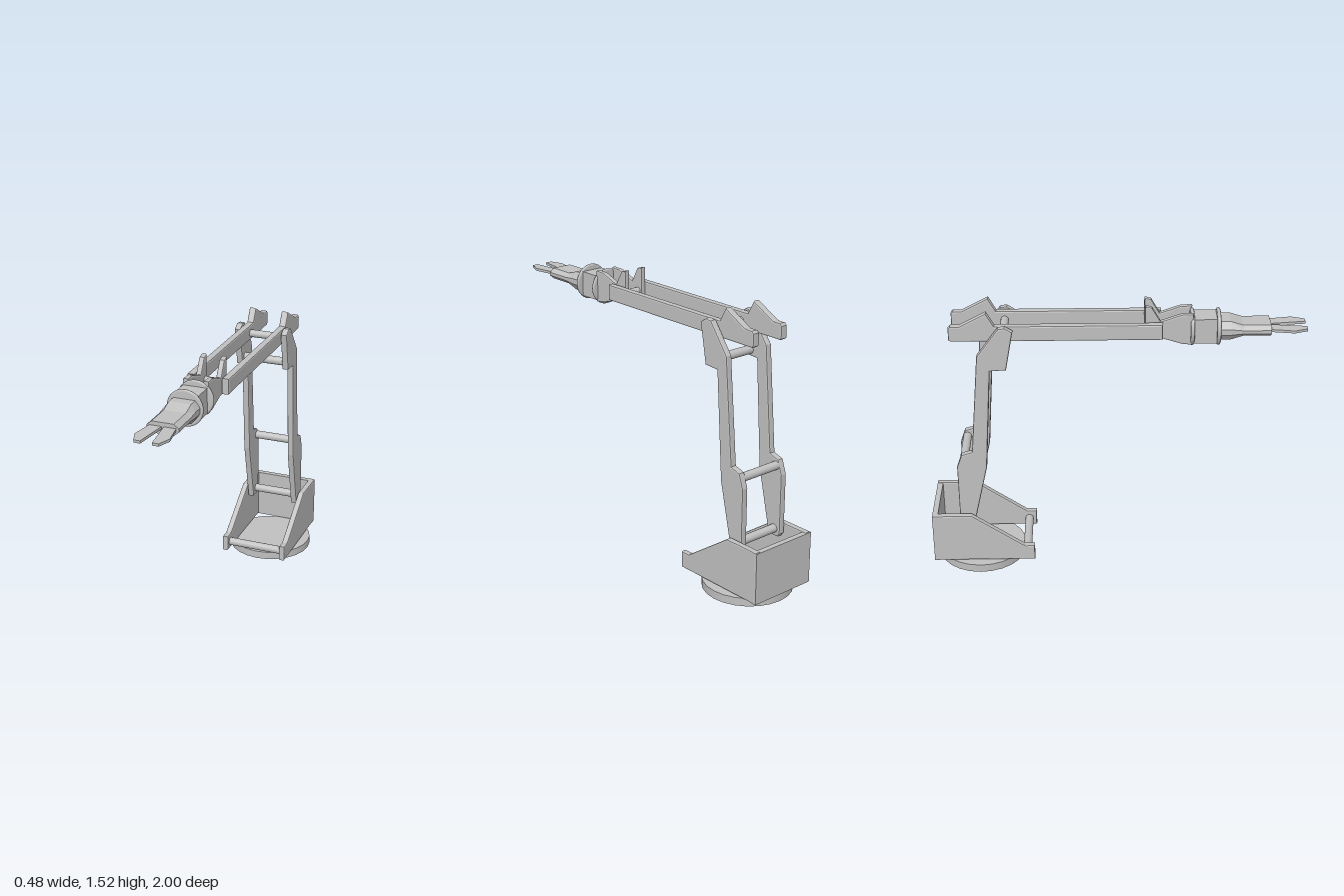
import * as THREE from 'three';

const grey = new THREE.MeshStandardMaterial({ color: 0xc0c0c0 });
grey.name = 'machineGrey';

export function createModel() {
  const root = new THREE.Group();
  root.name = 'roboticArm';

  const add = (name, geometry, parent = root) => {
    const mesh = new THREE.Mesh(geometry, grey);
    mesh.name = name;
    parent.add(mesh);
    return mesh;
  };
  const group = (name) => {
    const g = new THREE.Group();
    g.name = name;
    root.add(g);
    return g;
  };

  // Bevelled plate from a (z, y) outline, spanning x0..x1
  const plate = (points, x0, x1, bevel = 0.008) => {
    const shape = new THREE.Shape(points.map(([z, y]) => new THREE.Vector2(z, y)));
    const depth = x1 - x0 - 2 * bevel;
    const geo = new THREE.ExtrudeGeometry(shape, {
      depth, bevelEnabled: true, bevelThickness: bevel, bevelSize: bevel,
      bevelOffset: -bevel, bevelSegments: 2,
    });
    geo.translate(0, 0, -depth / 2);
    geo.rotateY(-Math.PI / 2);
    geo.translate((x0 + x1) / 2, 0, 0);
    return geo;
  };
  const platePair = (name, points, x0, x1, parent) => {
    add(name + 'Left', plate(points, x0, x1), parent);
    add(name + 'Right', plate(points, -x1, -x0), parent);
  };

  // Round cross bar along x
  const bar = (name, y, z, halfLength, r, parent) => {
    const geo = new THREE.CylinderGeometry(r, r, halfLength * 2, 20);
    geo.rotateZ(Math.PI / 2);
    add(name, geo, parent).position.set(0, y, z);
  };

  // Turntable and open housing
  const base = group('base');
  add('turntable', new THREE.CylinderGeometry(0.24, 0.24, 0.045, 24), base).position.set(0, 0.0225, -0.745);
  platePair('housingSide', [
    [-0.445, 0.05], [-0.445, 0.14], [-0.5, 0.14], [-0.785, 0.337], [-0.995, 0.337], [-0.995, 0.05],
  ], 0.16, 0.195, base);
  add('housingBack', new THREE.BoxGeometry(0.388, 0.283, 0.03), base).position.set(0, 0.1925, -0.985);
  bar('housingFrontBar', 0.092, -0.487, 0.17, 0.023, base);

  // Upright arm: two plates joined by bars
  const lower = group('lowerArm');
  platePair('lowerArmPlate', [
    [-0.77, 0.27], [-0.69, 0.618], [-0.65, 1.195], [-0.565, 1.2], [-0.525, 1.415],
    [-0.565, 1.44], [-0.6, 1.435], [-0.715, 1.28], [-0.765, 0.715], [-0.823, 0.697],
    [-0.85, 0.62], [-0.85, 0.29], [-0.835, 0.27],
  ], 0.118, 0.155, lower);
  bar('lowerBar', 0.312, -0.81, 0.125, 0.023, lower);
  bar('kneeBar', 0.664, -0.81, 0.125, 0.023, lower);
  bar('upperBar', 1.232, -0.603, 0.125, 0.023, lower);
  bar('elbowPivot', 1.385, -0.575, 0.125, 0.021, lower);

  // Forearm reaching forward
  const upper = group('forearm');
  platePair('forearmPlate', [
    [0.245, 1.347], [0.245, 1.432], [-0.62, 1.432], [-0.66, 1.505], [-0.8, 1.432],
    [-0.845, 1.432], [-0.857, 1.42], [-0.857, 1.355], [-0.845, 1.347],
  ], 0.075, 0.115, upper);

  // Wrist fork and its pivot
  const wrist = group('wrist');
  platePair('wristFork', [
    [0.405, 1.295], [0.405, 1.47], [0.345, 1.468], [0.235, 1.43], [0.19, 1.508],
    [0.155, 1.517], [0.155, 1.337], [0.25, 1.332], [0.345, 1.302],
  ], 0.04, 0.07, wrist);
  bar('wristPivot', 1.385, 0.183, 0.08, 0.019, wrist);

  // Rounded flange discs either side of the wrist block
  const rim = [[0, -0.01], [0.089, -0.01], [0.096, -0.006], [0.098, 0], [0.096, 0.006], [0.089, 0.01], [0, 0.01]];
  for (const [name, z] of [['rearFlange', 0.402], ['frontFlange', 0.539]]) {
    const geo = new THREE.LatheGeometry(rim.map(([r, h]) => new THREE.Vector2(r, h)), 32);
    geo.rotateX(Math.PI / 2);
    add(name, geo, wrist).position.set(0, 1.372, z);
  }
  add('wristBlock', new THREE.BoxGeometry(0.13, 0.136, 0.135), wrist).position.set(0, 1.37, 0.47);

  // Gripper palm: eight-sided section tapering in height
  const gripper = group('gripper');
  const sections = [[0.54, 0.051], [0.6, 0.051], [0.665, 0.03], [0.81, 0.03]];
  const rings = sections.map(([z, h]) => [
    [0.083, -0.3], [0.083, 0.3], [0.058, 1], [-0.058, 1],
    [-0.083, 0.3], [-0.083, -0.3], [-0.058, -1], [0.058, -1],
  ].map(([x, k]) => [x, 1.372 + k * h, z]));
  const pos = [];
  for (let s = 0; s < 3; s++) {
    for (let i = 0; i < 8; i++) {
      const j = (i + 1) % 8;
      const a = rings[s][i], b = rings[s][j], c = rings[s + 1][j], d = rings[s + 1][i];
      pos.push(...a, ...b, ...c, ...a, ...c, ...d);
    }
  }
  for (let i = 1; i < 7; i++) {
    pos.push(...rings[3][0], ...rings[3][i], ...rings[3][i + 1]);
    pos.push(...rings[0][0], ...rings[0][i + 1], ...rings[0][i]);
  }
  // Side faces run outward once each triangle is reversed where needed
  for (let t = 0; t < 48 * 9; t += 9) {
    for (let k = 0; k < 3; k++) {
      [pos[t + 3 + k], pos[t + 6 + k]] = [pos[t + 6 + k], pos[t + 3 + k]];
    }
  }
  const palm = new THREE.BufferGeometry();
  palm.setAttribute('position', new THREE.Float32BufferAttribute(pos, 3));
  // Restore the outward order if the first face points inward
  palm.computeVertexNormals();
  if (palm.attributes.normal.getX(0) < 0) {
    for (let t = 0; t < 48 * 9; t += 9) {
      for (let k = 0; k < 3; k++) {
        [pos[t + 3 + k], pos[t + 6 + k]] = [pos[t + 6 + k], pos[t + 3 + k]];
      }
    }
    palm.setAttribute('position', new THREE.Float32BufferAttribute(pos, 3));
    palm.computeVertexNormals();
  }
  add('palm', palm, gripper);

  // Flat pointed fingers
  const finger = [[0.004, 0.8], [0.068, 0.8], [0.09, 0.93], [0.064, 1.0], [0.03, 1.0]];
  for (const [name, side] of [['fingerLeft', 1], ['fingerRight', -1]]) {
    const shape = new THREE.Shape(finger.map(([x, z]) => new THREE.Vector2(side * x, z)));
    const geo = new THREE.ExtrudeGeometry(shape, { depth: 0.014, bevelEnabled: false });
    geo.rotateX(Math.PI / 2);
    add(name, geo, gripper).position.y = 1.381;
  }

  return root;
}
